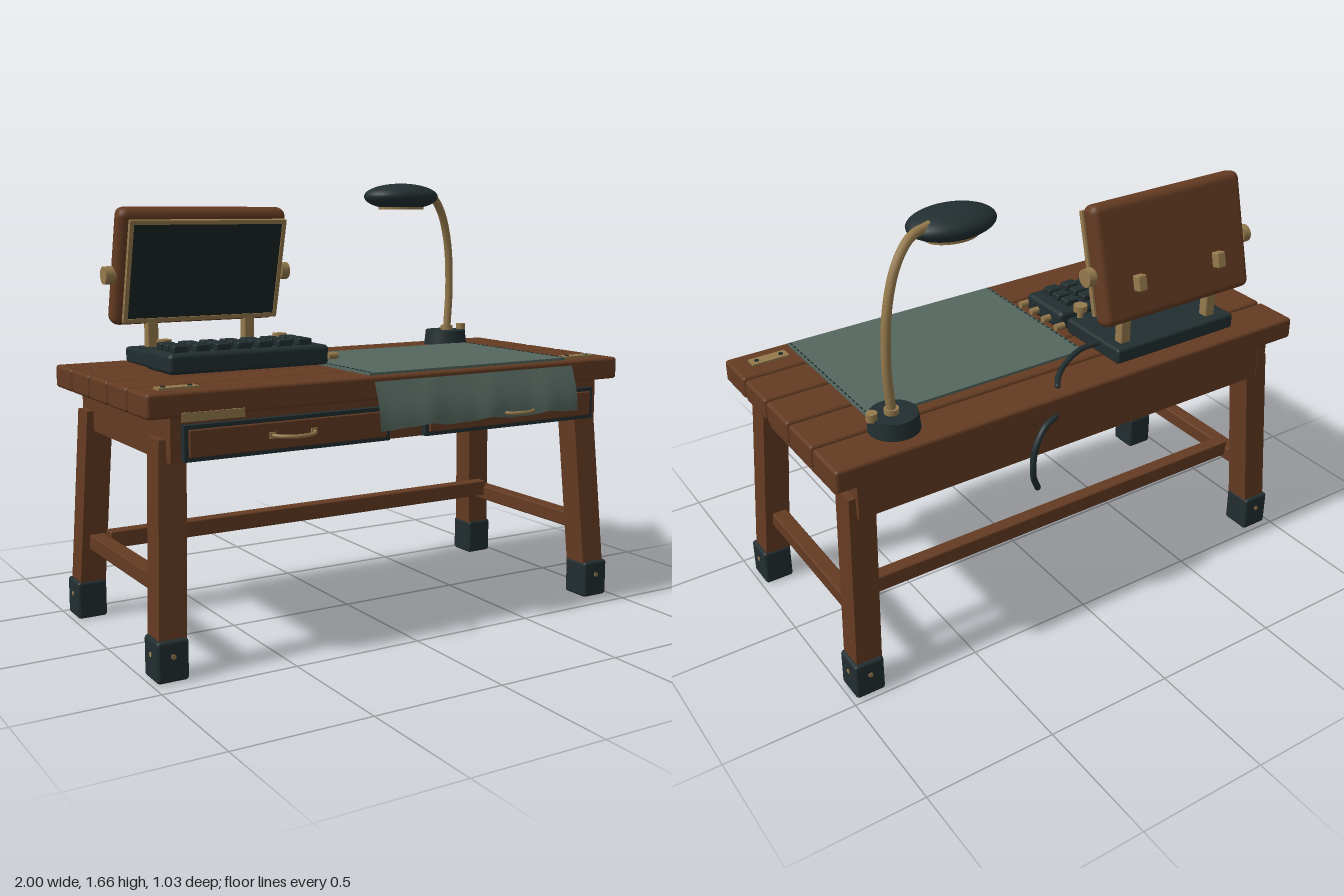
import * as THREE from 'three';
import { RoundedBoxGeometry } from 'three/addons/geometries/RoundedBoxGeometry.js';

const paint = (name, color, side = THREE.FrontSide) => {
  const m = new THREE.MeshStandardMaterial({ color, side });
  m.name = name;
  return m;
};

export function createModel() {
  const model = new THREE.Group();
  model.name = 'writingDesk';
  const wood = paint('wood', 0x643b22);
  const dark = paint('darkMetal', 0x222e30);
  const glass = paint('screenGlass', 0x1a2325);
  const cloth = paint('greenCloth', 0x55675f, THREE.DoubleSide);
  const brass = paint('brass', 0x94794c);

  const add = (name, geo, mat, x = 0, y = 0, z = 0, parent = model) => {
    const mesh = new THREE.Mesh(geo, mat);
    mesh.name = name;
    mesh.position.set(x, y, z);
    parent.add(mesh);
    return mesh;
  };
  const box = (name, mat, [w, h, d], [x, y, z], parent) =>
    add(name, new THREE.BoxGeometry(w, h, d), mat, x, y, z, parent);
  const soft = (name, mat, [w, h, d], [x, y, z], r = 0.01, parent) =>
    add(name, new RoundedBoxGeometry(w, h, d, 2, r), mat, x, y, z, parent);
  const disc = (name, mat, r, h, [x, y, z], parent) =>
    add(name, new THREE.CylinderGeometry(r, r, h, 24), mat, x, y, z, parent);
  const tube = (name, mat, r, points) => {
    const curve = new THREE.CatmullRomCurve3(points.map(p => new THREE.Vector3(...p)));
    add(name, new THREE.TubeGeometry(curve, 40, r, 10), mat);
    for (const t of [0, 1]) {
      const p = curve.getPoint(t);
      add(name + 'End', new THREE.SphereGeometry(r, 10, 8), mat, p.x, p.y, p.z);
    }
  };

  // Table top: five planks with recessed strips closing the gaps
  for (let i = 0; i < 5; i++) {
    const z = -0.4 + i * 0.1845;
    soft('plank', wood, [2, 0.085, 0.175], [0, 0.9325, z], 0.012);
    if (i < 4) box('plankJoint', wood, [1.9, 0.04, 0.02], [0, 0.93, z + 0.092]);
  }

  // Aprons
  box('frontApron', wood, [1.76, 0.15, 0.03], [0, 0.815, 0.385]);
  box('backApron', wood, [1.76, 0.155, 0.035], [0, 0.8125, -0.43]);
  for (const s of [-1, 1]) box('sideApron', wood, [0.04, 0.155, 0.848], [s * 0.89, 0.8125, -0.025]);

  // Splayed legs with dark feet: boxes sheared outward toward the floor
  const splay = (geo, y, dx, dz) => {
    const p = geo.attributes.position;
    for (let i = 0; i < p.count; i++) {
      const drop = 0.81 - (p.getY(i) + y);
      p.setX(i, p.getX(i) + dx * drop);
      p.setZ(i, p.getZ(i) + dz * drop);
    }
    geo.computeVertexNormals();
    return geo;
  };
  for (const s of [-1, 1]) {
    for (const [zTop, slope] of [[0.31, 0.072], [-0.38, -0.055]]) {
      const legGeo = splay(new THREE.BoxGeometry(0.1, 0.77, 0.1), 0.425, s * 0.05, slope);
      add('leg', legGeo, wood, s * 0.885, 0.425, zTop);
      const fx = s * 0.924, fz = zTop + slope * 0.74;
      soft('foot', dark, [0.115, 0.145, 0.12], [fx, 0.0725, fz], 0.012);
      const f = Math.sign(zTop);
      disc('footRivet', brass, 0.009, 0.006, [fx, 0.09, fz + f * 0.061]).rotation.x = Math.PI / 2;
      disc('footRivet', brass, 0.009, 0.006, [fx + s * 0.057, 0.09, fz]).rotation.z = Math.PI / 2;
    }
    soft('sideStretcher', wood, [0.06, 0.06, 0.67], [s * 0.9, 0.3, -0.03], 0.006);
  }
  soft('longStretcher', wood, [1.76, 0.065, 0.055], [0, 0.323, -0.29], 0.006);

  // Drawers with dark surrounds and bow handles
  for (const s of [-1, 1]) {
    box('drawerSurround', dark, [0.795, 0.122, 0.03], [s * 0.475, 0.802, 0.412]);
    soft('drawerFront', wood, [0.765, 0.094, 0.02], [s * 0.475, 0.802, 0.425], 0.005);
    const handle = add('drawerHandle', new THREE.TorusGeometry(0.08, 0.007, 8, 20, Math.PI), brass, s * 0.475, 0.805, 0.435);
    handle.rotation.x = Math.PI / 2;
    handle.scale.y = 0.82;
    for (const e of [-1, 1]) box('handleMount', brass, [0.022, 0.022, 0.012], [s * 0.475 + e * 0.08, 0.805, 0.438]);
    // Corner plates with screws
    box('cornerPlate', brass, [0.145, 0.008, 0.048], [s * 0.86, 0.979, 0.34]);
    for (const e of [-1, 1]) disc('plateScrew', dark, 0.009, 0.006, [s * 0.86 + e * 0.048, 0.983, 0.34]);
  }
  box('blankLabelPlate', brass, [0.225, 0.03, 0.006], [-0.78, 0.896, 0.457]);
  for (const e of [-1, 1]) box('labelStandoff', brass, [0.01, 0.01, 0.032], [-0.78 + e * 0.09, 0.902, 0.44]);

  // Cloth mat with stitched edges and a wavy front drop
  box('mat', cloth, [0.9, 0.012, 0.66], [0.305, 0.979, 0.07]);
  for (const x of [-0.138, 0.748])
    for (let i = 0; i < 22; i++) box('stitch', dark, [0.005, 0.003, 0.016], [x, 0.986, -0.245 + i * 0.03]);
  const drop = new THREE.PlaneGeometry(0.905, 1, 48, 8);
  const dp = drop.attributes.position;
  for (let i = 0; i < dp.count; i++) {
    const t = 0.5 - dp.getY(i), x = dp.getX(i);
    const wave = Math.sin(x * 22 + 1) * 0.005 + Math.sin(x * 47) * 0.002;
    dp.setY(i, 0.957 - t * 0.167 + wave * t);
    dp.setZ(i, 0.432 + 0.045 * Math.sin(t * Math.PI / 2) + wave * t);
  }
  drop.computeVertexNormals();
  add('matDrop', drop, cloth, 0.307);

  // Keyboard with three rows of seven keys and side knobs
  soft('keyboardBody', dark, [0.64, 0.075, 0.232], [-0.475, 1.025, 0.018], 0.018);
  for (let r = 0; r < 3; r++)
    for (let c = 0; c < 7; c++)
      soft('key', dark, [0.058, 0.026, 0.044], [-0.735 + c * 0.0825, 1.074, -0.037 + r * 0.058], 0.006);
  for (const z of [0.13, 0.055, -0.025, -0.11])
    disc('sideKnob', brass, 0.013, 0.04, [-0.142, 1.02, z]).rotation.z = Math.PI / 2;

  // Screen base, knobs and support posts
  soft('screenBase', dark, [0.56, 0.06, 0.325], [-0.465, 1.007, -0.257], 0.012);
  for (const x of [-0.71, -0.235]) {
    disc('baseKnobStem', brass, 0.012, 0.05, [x, 1.05, -0.115]);
    disc('baseKnob', brass, 0.027, 0.025, [x, 1.076, -0.115]);
  }
  for (const x of [-0.66, -0.25]) soft('screenPost', brass, [0.045, 0.13, 0.04], [x, 1.085, -0.36], 0.006);

  // Tilted screen
  const screen = new THREE.Group();
  screen.name = 'screen';
  screen.position.set(-0.475, 1.347, -0.328);
  screen.rotation.x = 0.25;
  model.add(screen);
  soft('screenCase', wood, [0.69, 0.45, 0.08], [0, 0, 0], 0.03, screen);
  box('screenMount', dark, [0.3, 0.2, 0.03], [0, 0, 0.053], screen);
  box('screenPanel', glass, [0.61, 0.365, 0.012], [0, 0, 0.073], screen);
  for (const s of [-1, 1]) {
    box('bezelRail', brass, [0.64, 0.016, 0.018], [0, s * 0.189, 0.074], screen);
    box('bezelStile', brass, [0.016, 0.39, 0.018], [s * 0.313, 0, 0.074], screen);
    disc('tiltKnobStem', brass, 0.02, 0.03, [s * 0.35, -0.03, 0.01], screen).rotation.z = Math.PI / 2;
    disc('tiltKnob', brass, 0.034, 0.034, [s * 0.367, -0.03, 0.01], screen).rotation.z = Math.PI / 2;
    soft('rearLatch', brass, [0.04, 0.06, 0.04], [s * 0.188, -0.085, -0.052], 0.006, screen);
  }

  // Cables
  tube('screenCable', dark, 0.011, [[-0.18, 1.02, -0.3], [-0.1, 1.02, -0.305], [0, 1.0, -0.34], [0.06, 0.985, -0.385], [0.09, 0.98, -0.425]]);
  tube('hangingCable', dark, 0.012, [[0.14, 0.9, -0.485], [0.2, 0.88, -0.502], [0.245, 0.81, -0.512], [0.245, 0.7, -0.502], [0.2, 0.61, -0.465]]);

  // Desk lamp
  add('lampBase', new THREE.CylinderGeometry(0.085, 0.092, 0.062, 32), dark, 0.708, 1.005, -0.345);
  disc('lampSwitch', brass, 0.02, 0.03, [0.79, 1.045, -0.345]);
  disc('lampCollar', brass, 0.026, 0.02, [0.715, 1.045, -0.345]);
  tube('lampArm', brass, 0.017, [[0.715, 1.03, -0.345], [0.725, 1.23, -0.345], [0.702, 1.42, -0.33], [0.65, 1.55, -0.308], [0.58, 1.615, -0.28], [0.5, 1.63, -0.26]]);
  const shade = add('lampShade', new THREE.SphereGeometry(1, 32, 20), dark, 0.393, 1.609, -0.225);
  shade.scale.set(0.165, 0.053, 0.115);
  const light = disc('lampDiffuser', brass, 1, 1, [0.393, 1.566, -0.225]);
  light.scale.set(0.1, 0.018, 0.07);

  return model;
}
